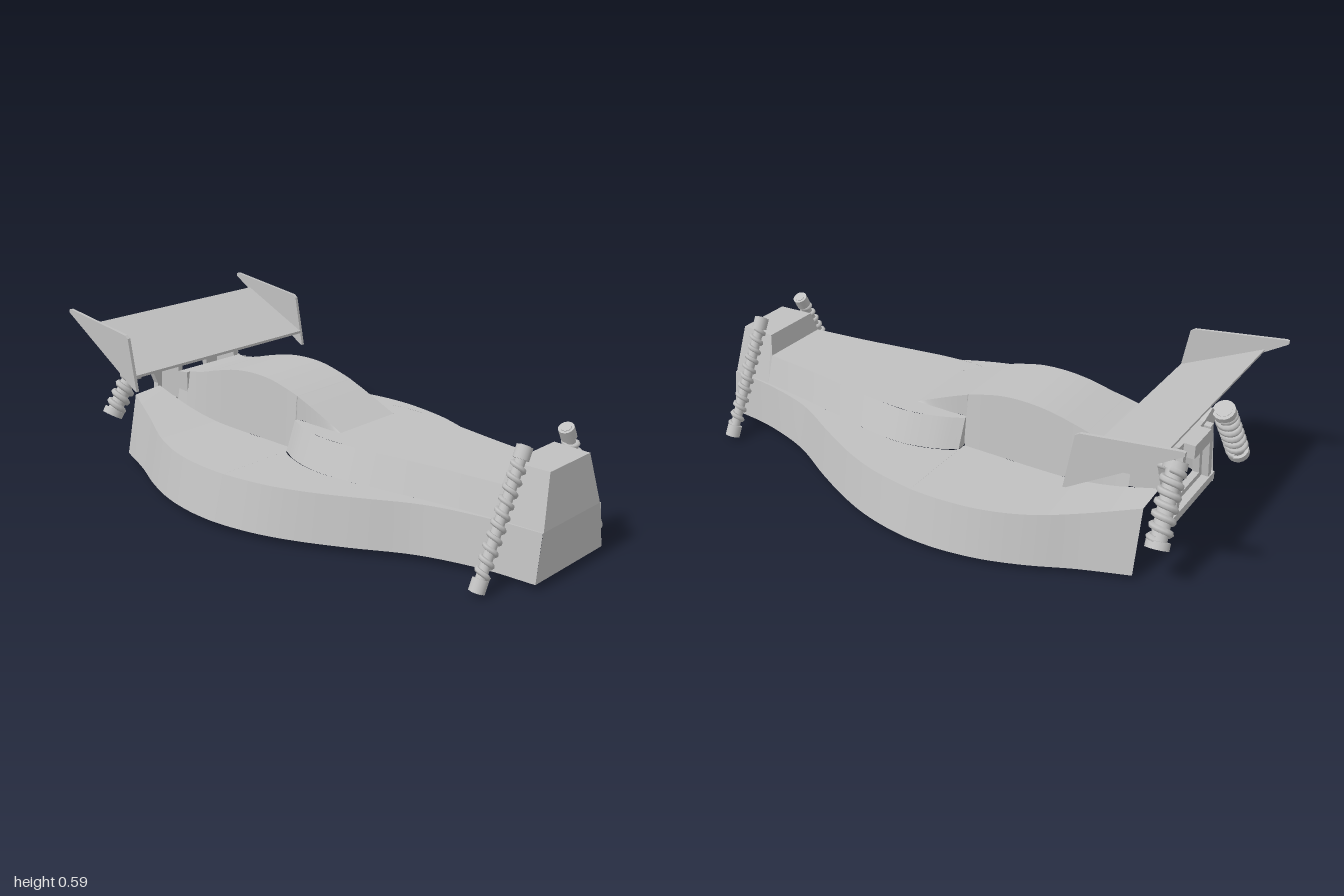
import * as THREE from 'three';

const grey = new THREE.MeshStandardMaterial({ color: 0xc0c0c0, side: THREE.DoubleSide });
grey.name = 'body grey';

const V = (p) => new THREE.Vector3(...p);

function add(parent, name, geometry) {
  const mesh = new THREE.Mesh(geometry, grey);
  mesh.name = name;
  parent.add(mesh);
  return mesh;
}

// Ruled surface between two smooth edges with matching point counts
function strip(a, b) {
  const n = (a.length - 1) * 5;
  const ca = new THREE.CatmullRomCurve3(a.map(V)), cb = new THREE.CatmullRomCurve3(b.map(V));
  const pos = [], index = [];
  for (let i = 0; i <= n; i++) {
    pos.push(...ca.getPoint(i / n).toArray(), ...cb.getPoint(i / n).toArray());
    if (i < n) index.push(2 * i, 2 * i + 1, 2 * i + 2, 2 * i + 1, 2 * i + 3, 2 * i + 2);
  }
  const g = new THREE.BufferGeometry();
  g.setAttribute('position', new THREE.Float32BufferAttribute(pos, 3));
  g.setIndex(index);
  g.computeVertexNormals();
  return g;
}

const flip = (pts) => pts.map(([x, y, z]) => [-x, y, z]);

// A strip on the left and its mirror on the right
function pair(parent, name, a, b) {
  add(parent, name + 'Left', strip(a, b));
  add(parent, name + 'Right', strip(flip(b), flip(a)));
}

// A strip spanning from an edge to its mirror
const span = (parent, name, a) => add(parent, name, strip(a, flip(a)));

// Plate cut in the z-y plane, extruded across x
function plate(parent, name, pts, x, width) {
  const shape = new THREE.Shape(pts.map(([z, y]) => new THREE.Vector2(z, y)));
  const g = new THREE.ExtrudeGeometry(shape, { depth: width, bevelEnabled: false });
  g.rotateY(-Math.PI / 2).translate(x + width / 2, 0, 0);
  return add(parent, name, g);
}

class Helix extends THREE.Curve {
  constructor(radius, length, turns) {
    super();
    Object.assign(this, { radius, length, turns });
  }
  getPoint(t, target = new THREE.Vector3()) {
    const a = t * this.turns * Math.PI * 2;
    return target.set(this.radius * Math.cos(a), (t - 0.5) * this.length, this.radius * Math.sin(a));
  }
}

// Shock absorber: rod, end caps and wound spring between two points
function shock(parent, name, from, to, rod, wire, turns) {
  const a = V(from), b = V(to), length = a.distanceTo(b);
  const g = new THREE.Group();
  g.name = name;
  add(g, 'damperRod', new THREE.CylinderGeometry(rod, rod, length, 16));
  add(g, 'spring', new THREE.TubeGeometry(new Helix(rod + wire * 0.3, length * 0.8, turns), turns * 16, wire, 6));
  for (const s of [-1, 1]) {
    const cap = add(g, 'endCap', new THREE.CylinderGeometry(rod + wire, rod + wire, length * 0.09, 16));
    cap.position.y = s * length * 0.45;
  }
  g.position.copy(a).add(b).multiplyScalar(0.5);
  g.quaternion.setFromUnitVectors(new THREE.Vector3(0, 1, 0), b.sub(a).normalize());
  parent.add(g);
}

export function createModel() {
  const model = new THREE.Group();
  model.name = 'racingBuggyBody';

  // Lower shell: z, bottom half width, top half width, top height, inner deck half width
  const shell = [
    [1, 0.19, 0.165, 0.195, 0.16], [0.82, 0.21, 0.185, 0.195, 0.175], [0.6, 0.275, 0.24, 0.195, 0.205],
    [0.4, 0.385, 0.345, 0.195, 0.24], [0.25, 0.46, 0.42, 0.195, 0.265], [0.12, 0.51, 0.468, 0.195, 0.27],
    [0, 0.538, 0.493, 0.195, 0.24], [-0.07, 0.547, 0.502, 0.195, 0.2], [-0.075, 0.548, 0.503, 0.195, 0.165],
    [-0.2, 0.547, 0.502, 0.195, 0.165], [-0.35, 0.522, 0.478, 0.195, 0.165], [-0.5, 0.47, 0.425, 0.2, 0.165],
    [-0.65, 0.4, 0.352, 0.219, 0.165], [-0.82, 0.335, 0.285, 0.26, 0.165],
  ];
  const body = new THREE.Group();
  body.name = 'bodyShell';
  model.add(body);
  const rim = shell.map(([z, , t, y]) => [t, y, z]);
  const deckInner = shell.map(([z, , , y, d]) => [d, y + (z < -0.5 ? (-0.5 - z) * 0.03 : 0), z]);
  pair(body, 'skirt', shell.map(([z, b]) => [b, 0.03, z]), rim);
  pair(body, 'sideDeck', rim, deckInner);

  // Upper hull: z, base half width, top half width
  const hull = [
    [0.825, 0.175, 0.14], [0.6, 0.205, 0.165], [0.4, 0.24, 0.195], [0.25, 0.265, 0.215],
    [0.13, 0.27, 0.22], [0.06, 0.257, 0.207], [0, 0.238, 0.188], [-0.07, 0.2, 0.156],
  ];
  const hullTop = hull.map(([z, , t]) => [t, 0.3, z]);
  pair(body, 'hullSide', hull.map(([z, b]) => [b, 0.195, z]), hullTop);
  span(body, 'hullTop', hullTop.slice(0, 5));
  pair(body, 'cockpitRim', hullTop.slice(4), hullTop.slice(4).map(([, y, z]) => [0.142, y, z]));
  pair(body, 'hullEnd', [[0.2, 0.195, -0.07], [0.156, 0.3, -0.07]], [[0.16, 0.195, -0.07], [0.142, 0.3, -0.07]]);

  // Engine cover hump: z, crest height, wall foot height
  const hump = [
    [0.14, 0.3, 0.3], [0, 0.359, 0.3], [-0.07, 0.386, 0.295], [-0.075, 0.388, 0.195], [-0.2, 0.419, 0.195],
    [-0.3, 0.425, 0.195], [-0.4, 0.416, 0.195], [-0.5, 0.393, 0.2], [-0.6, 0.366, 0.21], [-0.71, 0.35, 0.235],
  ];
  const crest = hump.map(([z, y]) => [0.14, y, z]);
  span(body, 'coverTop', crest);
  pair(body, 'coverSide', hump.map(([z, , f]) => [f > 0.25 ? 0.145 : 0.165, f, z]), crest);

  // Nose box
  const low = [0.19, 0.03, 1], waist = [0.16, 0.195, 1], tip = [0.112, 0.375, 0.98];
  const tipBack = [0.12, 0.375, 0.84], foot = [0.14, 0.3, 0.825], waistBack = [0.175, 0.195, 0.825];
  span(body, 'noseLowerFace', [low, [0.164, 0.195, 1]]);
  span(body, 'noseUpperFace', [waist, tip]);
  span(body, 'noseTop', [tip, tipBack]);
  span(body, 'noseBack', [tipBack, foot]);
  pair(body, 'noseSide', [waist, waistBack], [tip, tipBack]);
  pair(body, 'noseSideRear', [waistBack, foot], [tipBack, tipBack]);

  // Rear wing with end plates
  const wing = new THREE.Group();
  wing.name = 'rearWing';
  model.add(wing);
  plate(wing, 'wingBlade', [[-0.62, 0.402], [-0.92, 0.542], [-0.92, 0.55], [-0.62, 0.412]], 0, 0.86);
  const endPlate = [[-0.61, 0.353], [-0.645, 0.55], [-0.66, 0.56], [-0.99, 0.602], [-1, 0.6], [-1, 0.588], [-0.62, 0.355]];
  const mount = [[-0.66, 0.23], [-0.66, 0.355], [-0.71, 0.35], [-0.71, 0.4], [-0.8, 0.468], [-0.82, 0.25]];
  for (const s of [-1, 1]) {
    plate(wing, 'wingEndPlate', endPlate, s * 0.434, 0.012);
    plate(wing, 'wingMount', mount, s * 0.145, 0.02);
  }

  // Rear shock tower with a window and top bracket
  const tower = new THREE.Group();
  tower.name = 'rearShockTower';
  model.add(tower);
  const outline = [[-0.18, 0.15], [0.18, 0.15], [0.17, 0.28], [0.21, 0.38], [0.17, 0.42], [0.1, 0.4],
    [-0.1, 0.4], [-0.17, 0.42], [-0.21, 0.38], [-0.17, 0.28]];
  const shape = new THREE.Shape(outline.map((p) => new THREE.Vector2(...p)));
  const opening = [[-0.1, 0.2], [-0.085, 0.33], [0.085, 0.33], [0.1, 0.2]];
  shape.holes.push(new THREE.Path(opening.map((p) => new THREE.Vector2(...p))));
  add(tower, 'towerPlate', new THREE.ExtrudeGeometry(shape, { depth: 0.025, bevelEnabled: false }))
    .position.z = -0.85;
  add(tower, 'towerBracket', new THREE.BoxGeometry(0.13, 0.05, 0.05)).position.set(0, 0.375, -0.865);
  add(tower, 'towerFoot', new THREE.BoxGeometry(0.34, 0.03, 0.05)).position.set(0, 0.165, -0.855);

  // Shock absorbers and tower struts
  for (const s of [-1, 1]) {
    const side = s > 0 ? 'Left' : 'Right';
    const strut = add(tower, 'towerStrut', new THREE.BoxGeometry(0.025, 0.23, 0.03));
    strut.position.set(s * 0.125, 0.275, -0.86);
    strut.rotation.z = s * 0.12;
    const pin = add(tower, 'shockPin', new THREE.CylinderGeometry(0.014, 0.014, 0.07, 12));
    pin.rotation.x = Math.PI / 2;
    pin.position.set(s * 0.2, 0.385, -0.86);
    shock(model, 'frontShock' + side, [s * 0.338, 0.018, 0.885], [s * 0.113, 0.438, 0.885], 0.018, 0.009, 10);
    shock(model, 'rearShock' + side, [s * 0.345, 0.17, -0.9], [s * 0.195, 0.41, -0.88], 0.028, 0.012, 6);
  }
  return model;
}
